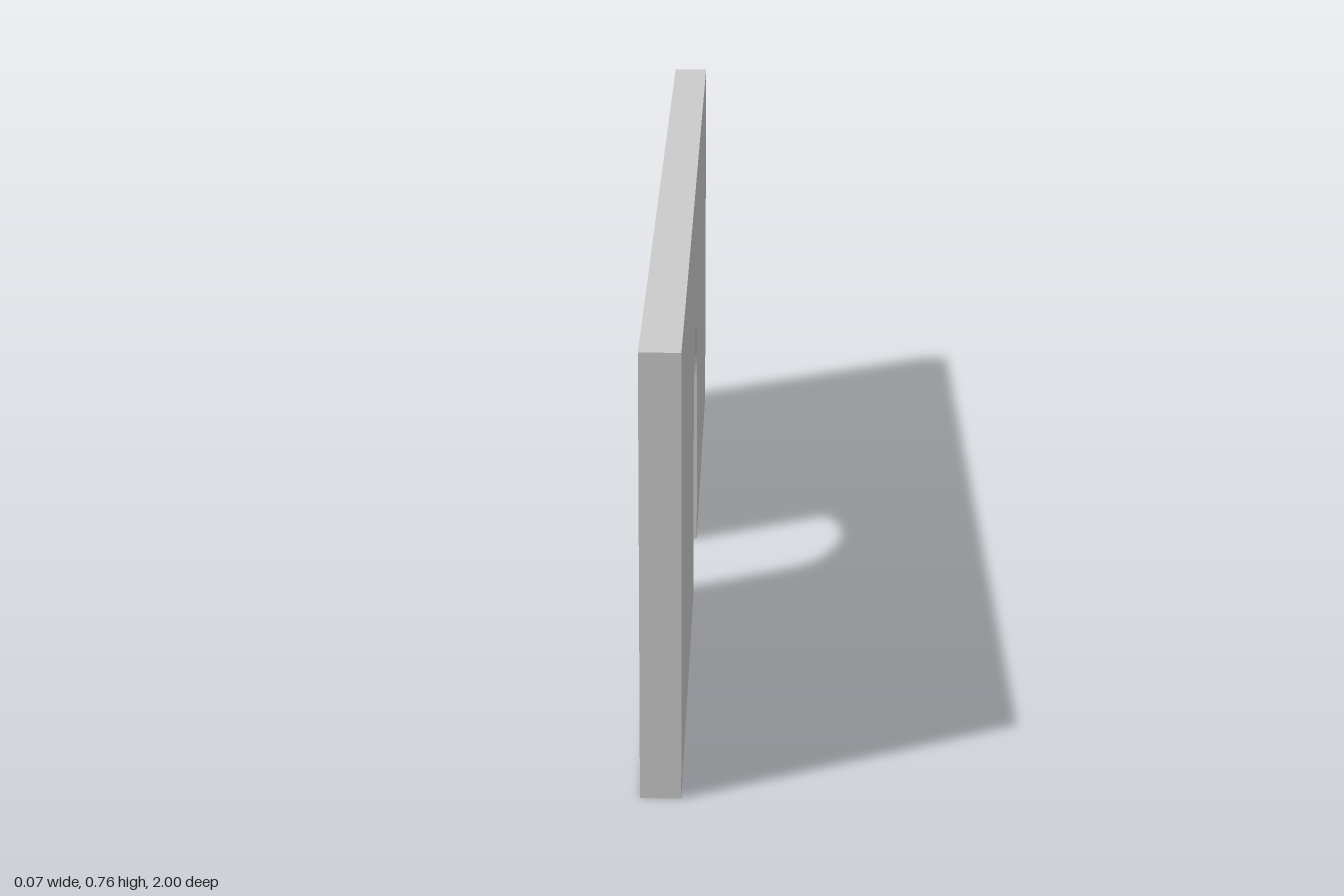
import * as THREE from 'three';
import { toCreasedNormals } from 'three/addons/utils/BufferGeometryUtils.js';

export function createModel() {
  const length = 2, height = 0.76, thickness = 0.067;
  const archCentre = 0.007, archRadius = 0.139, springHeight = 0.339;

  // Wall outline with a round-headed doorway cut up from the base
  const outline = new THREE.Shape();
  outline.moveTo(-length / 2, 0);
  outline.lineTo(archCentre - archRadius, 0);
  outline.lineTo(archCentre - archRadius, springHeight);
  outline.absarc(archCentre, springHeight, archRadius, Math.PI, 0, true);
  outline.lineTo(archCentre + archRadius, 0);
  outline.lineTo(length / 2, 0);
  outline.lineTo(length / 2, height);
  outline.lineTo(-length / 2, height);
  outline.closePath();

  // Extrude through the thickness, then turn the wall to run along z
  const geometry = new THREE.ExtrudeGeometry(outline, {
    depth: thickness, bevelEnabled: false, curveSegments: 32,
  });
  geometry.translate(0, 0, -thickness / 2);
  geometry.rotateY(-Math.PI / 2);

  const wall = new THREE.Mesh(
    toCreasedNormals(geometry, Math.PI / 6),
    new THREE.MeshStandardMaterial({ color: 0xcccccc }),
  );
  wall.name = 'archedWall';

  const model = new THREE.Group();
  model.name = 'wallWithArchedDoorway';
  model.add(wall);
  return model;
}
